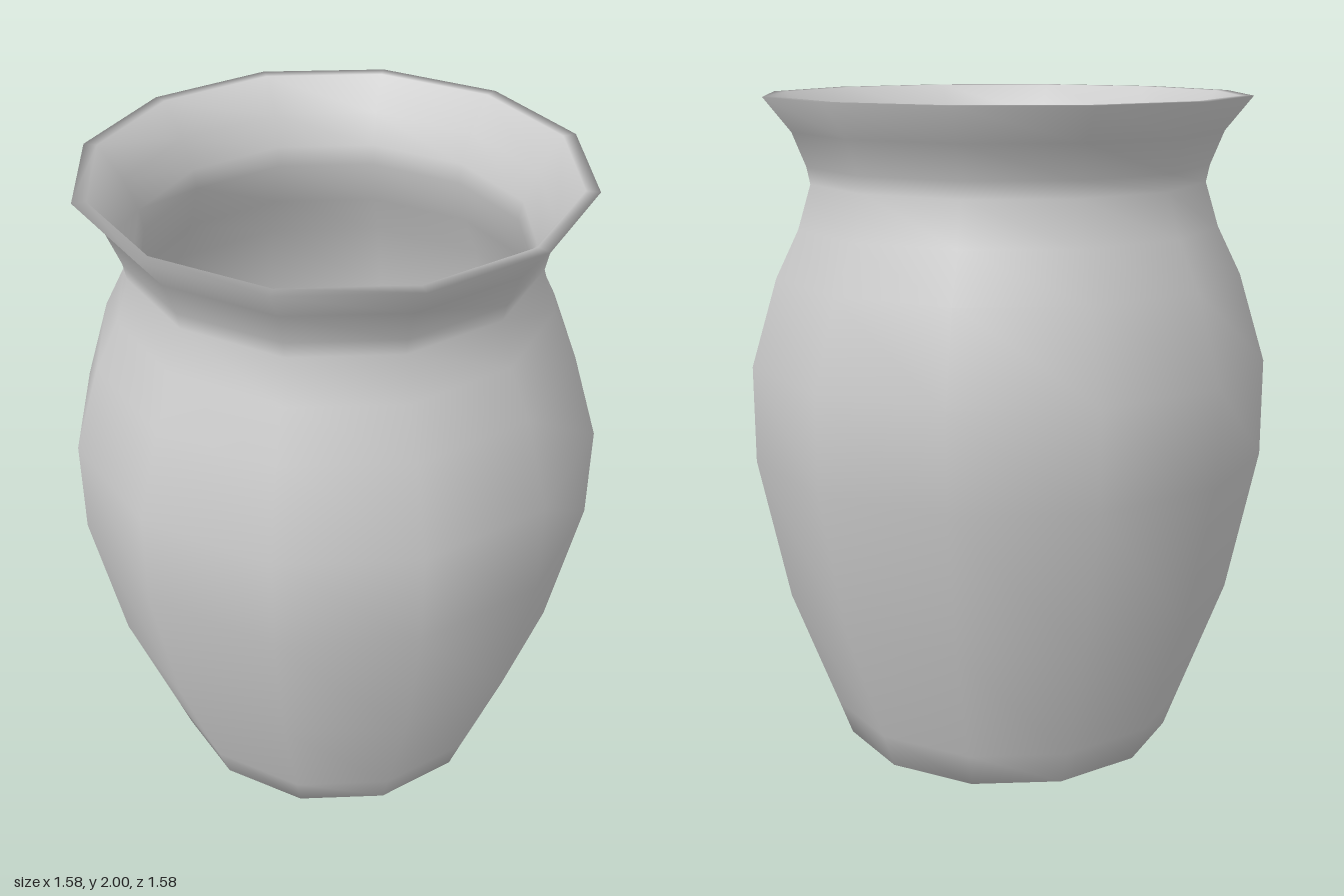
import * as THREE from 'three';
import { mergeGeometries, mergeVertices } from 'three/addons/utils/BufferGeometryUtils.js';

const SIDES = 12;

// Flat polygon matching one ring of the wall, facing up or down
function disc(radius, y, facing) {
  const points = [];
  for (let i = 0; i < SIDES; i++) {
    const a = (i / SIDES) * Math.PI * 2;
    points.push(new THREE.Vector2(radius * Math.cos(a), radius * Math.sin(a)));
  }
  return new THREE.ShapeGeometry(new THREE.Shape(points))
    .rotateX(-facing * Math.PI / 2)
    .translate(0, y, 0);
}

export function createModel() {
  const group = new THREE.Group();
  group.name = 'vase';

  // Outside from foot to lip, then back down the inside
  const outer = [
    [0.52, 0], [0.56, 0.11], [0.70, 0.49], [0.79, 0.93], [0.79, 1.22], [0.71, 1.48],
    [0.64, 1.62], [0.60, 1.75], [0.61, 1.80], [0.65, 1.90], [0.73, 2.0],
  ];
  const inner = [
    [0.69, 2.0], [0.62, 1.90], [0.58, 1.81], [0.57, 1.75], [0.61, 1.61], [0.68, 1.47],
    [0.755, 1.21], [0.755, 0.94], [0.67, 0.50], [0.53, 0.13], [0.50, 0.05],
  ];
  const profile = [...outer, ...inner].map(([r, y]) => new THREE.Vector2(r, y));
  const wall = new THREE.LatheGeometry(profile, SIDES);

  // Weld wall, base and floor so the shading runs smoothly across them
  const parts = [wall, disc(0.52, 0, -1), disc(0.50, 0.05, 1)];
  for (const part of parts) {
    part.deleteAttribute('normal');
    part.deleteAttribute('uv');
  }
  const geometry = mergeVertices(mergeGeometries(parts), 1e-3);
  geometry.computeVertexNormals();

  const body = new THREE.Mesh(geometry, new THREE.MeshStandardMaterial({ color: 0xcccccc }));
  body.name = 'vaseBody';
  group.add(body);
  return group;
}
